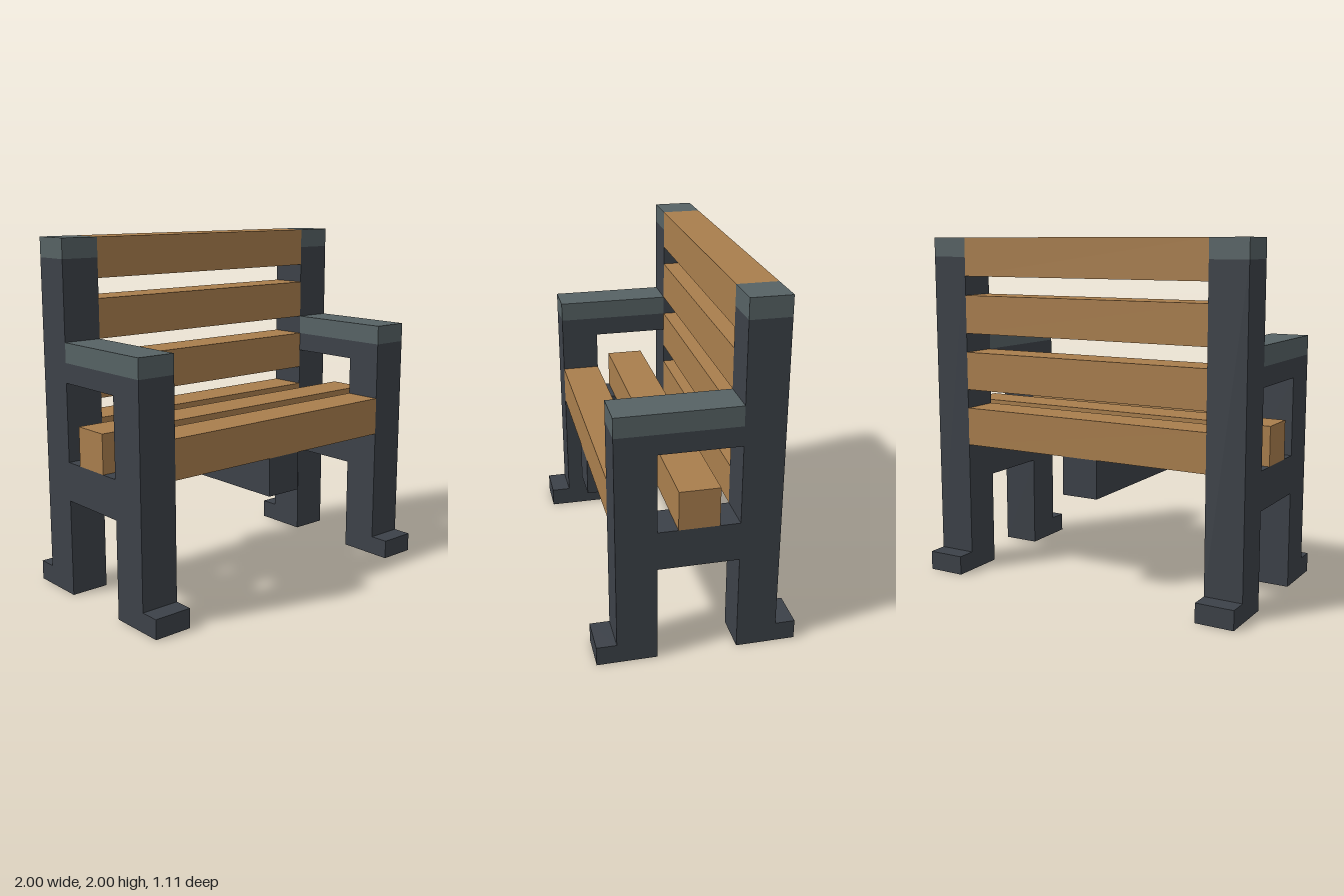
import * as THREE from 'three';

const U = 1 / 9; // the bench sits on a grid of ninths

const iron = new THREE.MeshStandardMaterial({ name: 'dark iron', color: 0x3c4148 });
const cap = new THREE.MeshStandardMaterial({ name: 'grey cap', color: 0x566264 });
const wood = new THREE.MeshStandardMaterial({ name: 'brown wood', color: 0xa97e4d });

// Box given by its [min, max] range on each axis, in grid units
function block(name, material, [x0, x1], [y0, y1], [z0, z1]) {
  const geometry = new THREE.BoxGeometry((x1 - x0) * U, (y1 - y0) * U, (z1 - z0) * U);
  const mesh = new THREE.Mesh(geometry, material);
  mesh.name = name;
  mesh.position.set((x0 + x1) / 2 * U, (y0 + y1) / 2 * U, (z0 + z1) / 2 * U);
  return mesh;
}

const points = (list) => list.map(([z, y]) => new THREE.Vector2(z * U, y * U));

// Side profile: feet, legs, seat rail, armrest and back post in one piece
function frameGeometry() {
  const shape = new THREE.Shape(points([
    [5, 0], [5, 1], [4, 1], [4, 12], [-2, 12], [-2, 17], [-4, 17],
    [-4, 1], [-5, 1], [-5, 0], [-2, 0], [-2, 5], [2, 5], [2, 0],
  ]));
  shape.holes.push(new THREE.Path(points([[-2, 7], [2, 7], [2, 11], [-2, 11]])));
  const geometry = new THREE.ExtrudeGeometry(shape, { depth: 2 * U, bevelEnabled: false });
  geometry.translate(0, 0, -U);
  geometry.rotateY(-Math.PI / 2);
  return geometry;
}

export function createModel() {
  const bench = new THREE.Group();
  bench.name = 'bench';

  // Side frames with grey caps on the armrest and back post
  const sideGeometry = frameGeometry();
  for (const [side, s] of [['left', 1], ['right', -1]]) {
    const group = new THREE.Group();
    group.name = `${side}Side`;
    const frame = new THREE.Mesh(sideGeometry, iron);
    frame.name = `${side}Frame`;
    group.add(
      frame,
      block(`${side}ArmCap`, cap, [-1, 1], [12, 13], [-2, 4]),
      block(`${side}PostCap`, cap, [-1, 1], [17, 18], [-4, -2]),
    );
    group.position.x = s * 8 * U;
    bench.add(group);
  }

  // Back slats, the lowest one level with the seat
  for (let i = 0; i < 4; i++) {
    const y = 7 + i * 3;
    bench.add(block(`backSlat${i + 1}`, wood, [-7, 7], [y, y + 2], [-4, -2]));
  }

  // Seat slats; the middle one rests on the side rails
  bench.add(block('middleSeatSlat', wood, [-9, 9], [7, 9], [-1, 1]));
  bench.add(block('frontSeatSlat', wood, [-7, 7], [7, 9], [2, 4]));

  // Support beam under the seat
  bench.add(block('seatBeam', iron, [-1, 1], [5, 7], [-4, 4]));

  return bench;
}
